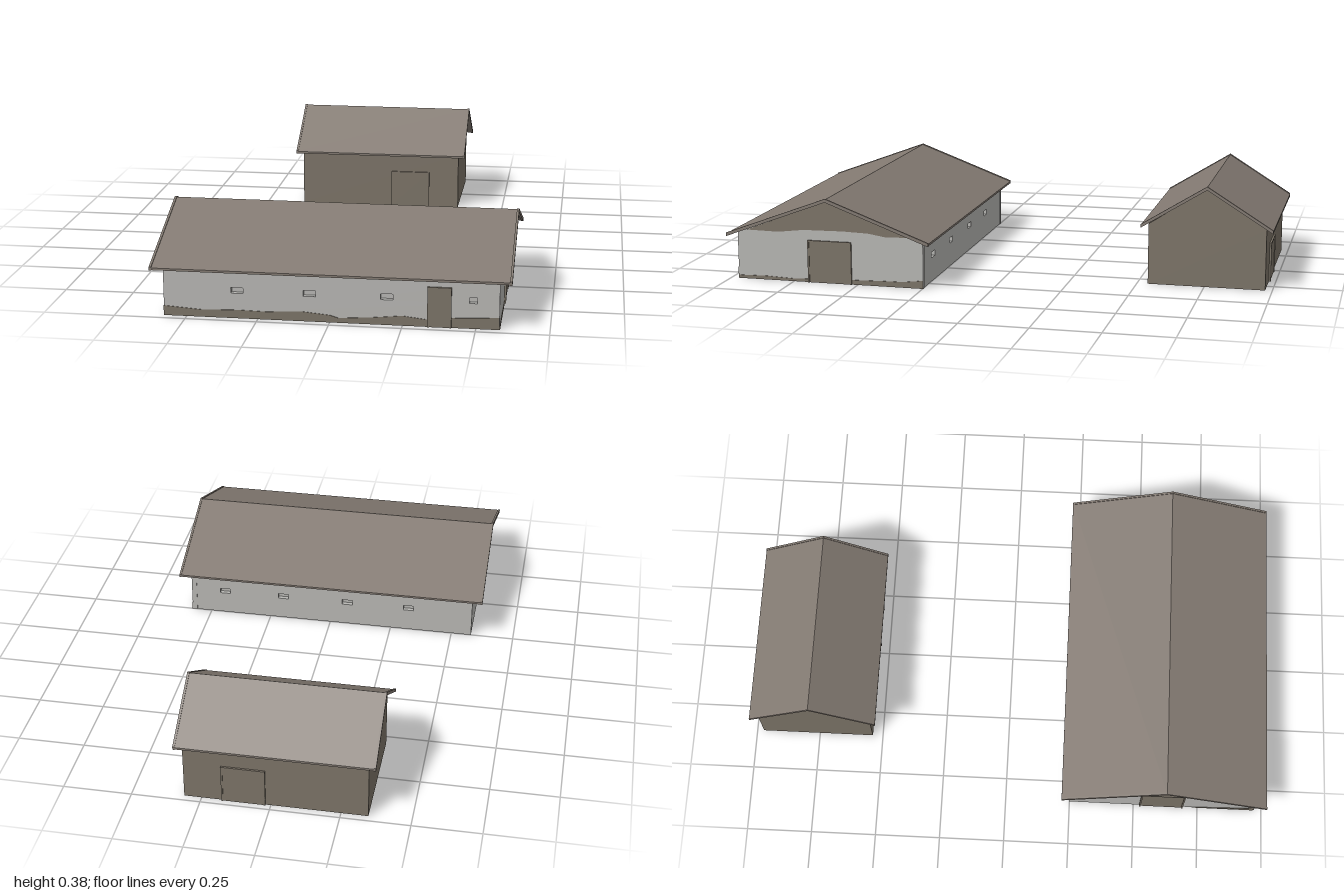
import * as THREE from 'three';

const mat = (name, color) => new THREE.MeshStandardMaterial({ name, color });

export function createModel() {
  const plaster = mat('pale plaster', 0xb8b7b4);
  const timber = mat('weathered timber', 0x7c7468);
  const roofing = mat('roof brown', 0x837a72);

  // outline in (u, y), thickened towards -z so its outer face lies at z = 0
  const slab = (name, points, depth, material, holes = []) => {
    const shape = new THREE.Shape(points.map(p => new THREE.Vector2(...p)));
    for (const [u, y, w, h] of holes) {
      shape.holes.push(new THREE.Path([[-1, -1], [-1, 1], [1, 1], [1, -1]]
        .map(([a, b]) => new THREE.Vector2(u + a * w / 2, y + b * h / 2))));
    }
    const geo = new THREE.ExtrudeGeometry(shape, { depth, bevelEnabled: false });
    geo.translate(0, 0, -depth);
    const mesh = new THREE.Mesh(geo, material);
    mesh.name = name;
    return mesh;
  };
  const box = (name, w, h, d, x, y, z, material) => {
    const mesh = new THREE.Mesh(new THREE.BoxGeometry(w, h, d), material);
    mesh.name = name;
    mesh.position.set(x, y, z);
    return mesh;
  };

  // door leaf with a slim raised frame and plastered jambs behind it
  const door = (u, w, h) => {
    const g = new THREE.Group();
    g.name = 'door';
    g.add(box('doorLeaf', w, h, 0.008, u, h / 2, 0, timber));
    g.add(box('doorLintel', w, 0.006, 0.014, u, h - 0.003, 0, timber));
    for (const s of [-1, 1]) {
      g.add(box('doorFrame', 0.006, h, 0.014, u + s * (w / 2 - 0.003), h / 2, 0, timber));
      g.add(box('doorJamb', 0.006, h, 0.03, u + s * (w / 2 - 0.003), h / 2, -0.03, plaster));
    }
    return g;
  };

  // ragged band of bare wall along the ground
  const stain = heights => {
    const first = heights[0][0], last = heights[heights.length - 1][0];
    const mesh = slab('wallStain', [[first, 0], [last, 0], ...[...heights].reverse()], 0.002, timber);
    mesh.position.z = 0.002;
    return mesh;
  };

  // wall group facing an angle about y, at distance d from the barn centre
  const wall = (barn, name, angle, d, parts) => {
    const g = new THREE.Group();
    g.name = name;
    g.rotation.y = angle;
    const inner = new THREE.Group();
    inner.position.z = d;
    inner.add(...parts);
    g.add(inner);
    barn.add(g);
  };
  const rect = (half, h) => [[-half, 0], [half, 0], [half, h], [-half, h]];
  const gableOutline = (half, h, peak) =>
    [[-half, 0], [half, 0], [half, h], [0, peak], [-half, h]];
  const panes = holes => holes.map(([u, y, w, h]) =>
    box('windowPane', w, h, 0.003, u, y, -0.0185, plaster));

  // two-slope roof with raised barge boards at both ends
  const roof = (barn, halfX, halfZ, ridge, eave, thick) => {
    const section = (lift, drop) => [
      [-halfZ, eave - drop], [0, ridge - thick - drop], [halfZ, eave - drop],
      [halfZ, eave + thick + lift], [0, ridge + lift], [-halfZ, eave + thick + lift]];
    const g = new THREE.Group();
    g.name = 'roof';
    g.rotation.y = Math.PI / 2;
    const cover = slab('roofSlopes', section(0, 0), halfX * 2, roofing);
    cover.position.z = halfX;
    g.add(cover);
    for (const z of [halfX, -halfX + 0.008]) {
      const barge = slab('bargeBoard', section(0.003, 0.002), 0.008, roofing);
      barge.position.z = z;
      g.add(barge);
    }
    barn.add(g);
  };

  const model = new THREE.Group();
  model.name = 'farmBuildings';

  // long plastered barn
  const long = new THREE.Group();
  long.name = 'longBarn';
  long.position.set(0, 0, 0.608);
  model.add(long);
  const win = (u, w = 0.042) => [u, 0.1, w, 0.021];
  const frontWindows = [win(-0.322), win(-0.07), win(0.196), win(0.491, 0.026)];
  const backWindows = [win(-0.44), win(-0.196), win(0.07), win(0.322)];
  const sideWindow = [win(-0.21)];
  const H = 0.178, PEAK = 0.314;

  wall(long, 'frontWall', 0, 0.362, [
    slab('plasterWall', rect(0.58, H), 0.02, plaster, frontWindows),
    ...panes(frontWindows),
    stain([[-0.58, 0.035], [-0.45, 0.026], [-0.32, 0.03], [-0.22, 0.028], [-0.1, 0.035],
      [0, 0.026], [0.03, 0.017], [0.15, 0.025], [0.25, 0.035], [0.33, 0.026],
      [0.42, 0.035], [0.5, 0.038], [0.58, 0.043]]),
    door(0.376, 0.082, 0.143),
  ]);
  wall(long, 'backWall', Math.PI, 0.358, [
    slab('plasterWall', rect(0.58, H), 0.02, plaster, backWindows),
    ...panes(backWindows),
  ]);
  const gableBoards = () => {
    const m = slab('gableBoards', [[-0.325, 0.188], [-0.2, 0.186], [-0.1, 0.198], [0.05, 0.2],
      [0.15, 0.197], [0.22, 0.186], [0.325, 0.19], [0, PEAK]], 0.002, timber);
    m.position.z = 0.002;
    return m;
  };
  wall(long, 'rightEnd', Math.PI / 2, 0.58, [
    slab('plasterWall', gableOutline(0.36, H, PEAK), 0.02, plaster),
    gableBoards(),
    stain([[-0.36, 0.012], [-0.25, 0.014], [-0.15, 0.01], [0.08, 0.017], [0.2, 0.02],
      [0.28, 0.021], [0.36, 0.03]]),
    door(0, 0.17, 0.16),
  ]);
  wall(long, 'leftEnd', -Math.PI / 2, 0.58, [
    slab('plasterWall', gableOutline(0.36, H, PEAK), 0.02, plaster, sideWindow),
    ...panes(sideWindow),
    gableBoards(),
    stain([[0.12, 0.003], [0.22, 0.012], [0.3, 0.02], [0.36, 0.035]]),
    door(0, 0.17, 0.16),
  ]);
  long.add(box('floor', 1.13, 0.006, 0.69, 0, 0.055, 0, plaster));
  roof(long, 0.622, 0.392, 0.324, 0.17, 0.008);

  // small timber barn, open underneath
  const small = new THREE.Group();
  small.name = 'smallBarn';
  small.position.set(-0.017, 0, -0.757);
  model.add(small);
  const h = 0.228, peak = 0.368;
  wall(small, 'frontWall', 0, 0.217, [
    slab('timberWall', rect(0.33, h), 0.008, timber), door(0.128, 0.16, 0.148)]);
  wall(small, 'backWall', Math.PI, 0.217, [
    slab('timberWall', rect(0.33, h), 0.008, timber), door(-0.115, 0.158, 0.148)]);
  for (const [name, angle] of [['rightEnd', Math.PI / 2], ['leftEnd', -Math.PI / 2]]) {
    wall(small, name, angle, 0.33, [
      slab('timberWall', gableOutline(0.217, h, peak), 0.008, timber)]);
  }
  roof(small, 0.357, 0.243, 0.378, 0.219, 0.008);

  return model;
}
